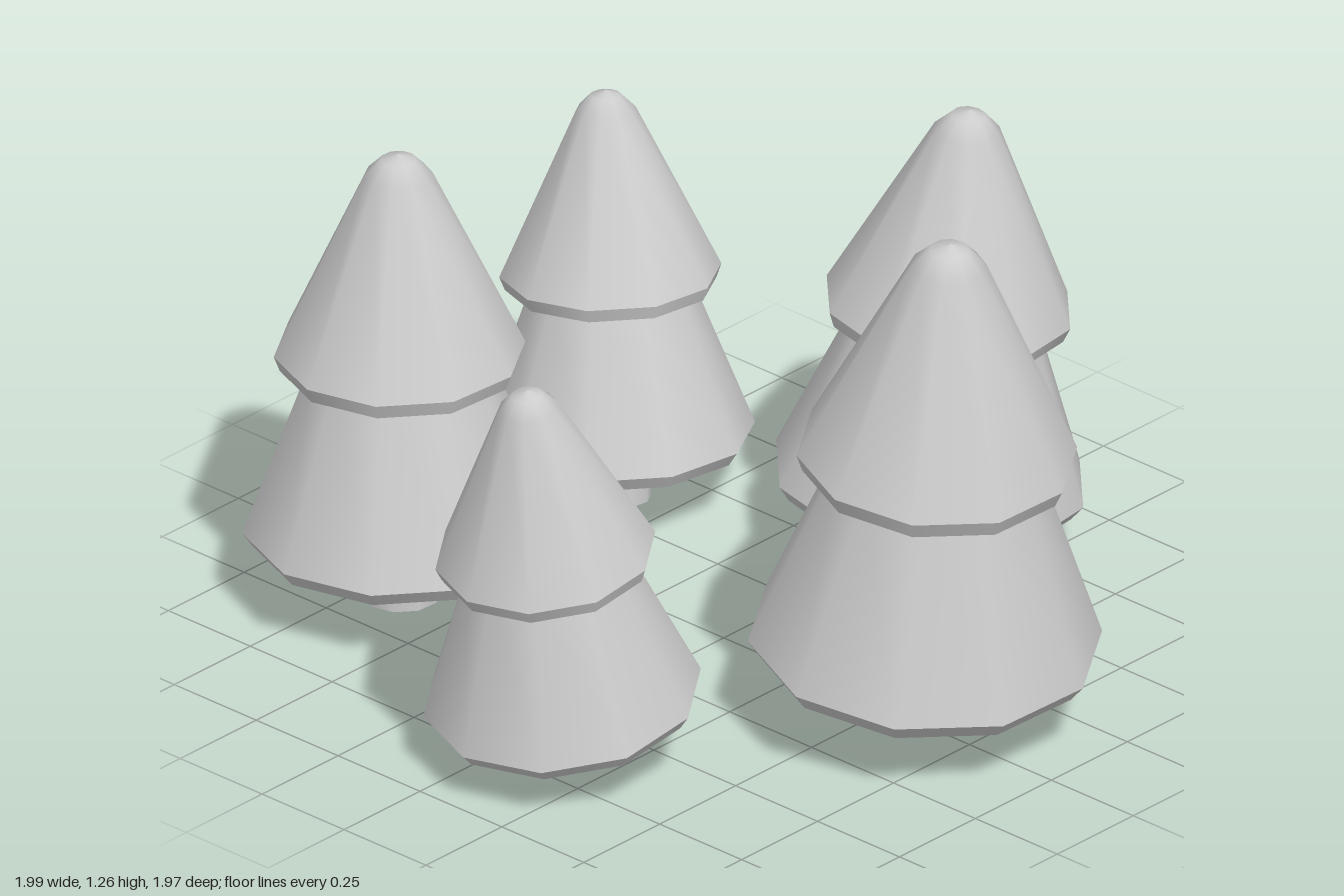
import * as THREE from 'three';
import { mergeGeometries } from 'three/addons/utils/BufferGeometryUtils.js';

const SIDES = 10;
const HEIGHT = 1.24; // height of the unscaled tree

// Each profile strip is smooth in itself; the joins between strips stay sharp
function turned(...strips) {
  return mergeGeometries(strips.map((strip) =>
    new THREE.LatheGeometry(strip.map(([r, y]) => new THREE.Vector2(r, y)), SIDES)));
}

export function createModel() {
  const group = new THREE.Group();
  group.name = 'treeGrove';
  const material = new THREE.MeshStandardMaterial({ color: 0xcccccc });

  const parts = {
    trunk: new THREE.CylinderGeometry(0.1, 0.1, 0.2, SIDES).translate(0, 0.1, 0),
    // underside, bevelled rim, sloping skirt
    lowerFoliage: turned(
      [[0, 0.16], [0.372, 0.16]],
      [[0.372, 0.16], [0.4, 0.2]],
      [[0.4, 0.2], [0.22, 0.68]],
    ),
    // underside, bevelled rim, cone with rounded tip
    upperFoliage: turned(
      [[0, 0.65], [0.302, 0.65]],
      [[0.302, 0.65], [0.317, 0.69]],
      [[0.317, 0.69], [0.085, 1.185], [0.045, 1.226], [0, 1.24]],
    ),
  };

  // Trunk foot, tip and turn (degrees) of each leaning tree
  const trees = [
    { name: 'rightTallTree', foot: [0.59, 0.03, -0.01], tip: [0.71, 1.267, 0.02], turn: -3 },
    { name: 'backTree', foot: [0.03, 0.015, -0.62], tip: [0.12, 1.123, -0.68], turn: 9 },
    { name: 'leftFrontTree', foot: [-0.645, 0.027, 0.366], tip: [-0.655, 1.138, 0.365], turn: -4 },
    { name: 'leftBackTree', foot: [-0.61, 0.027, -0.305], tip: [-0.7, 1.0, -0.365], turn: -5 },
    { name: 'frontTree', foot: [0.13, 0.02, 0.65], tip: [0.135, 0.99, 0.795], turn: -2 },
  ];

  const up = new THREE.Vector3(0, 1, 0);
  for (const { name, foot, tip, turn } of trees) {
    const tree = new THREE.Group();
    tree.name = name;
    for (const [part, geometry] of Object.entries(parts)) {
      const mesh = new THREE.Mesh(geometry, material);
      mesh.name = part;
      tree.add(mesh);
    }
    tree.position.set(...foot);
    const axis = new THREE.Vector3(...tip).sub(tree.position);
    tree.scale.setScalar(axis.length() / HEIGHT);
    tree.quaternion.setFromUnitVectors(up, axis.normalize());
    tree.rotateY(THREE.MathUtils.degToRad(turn));
    group.add(tree);
  }
  return group;
}
